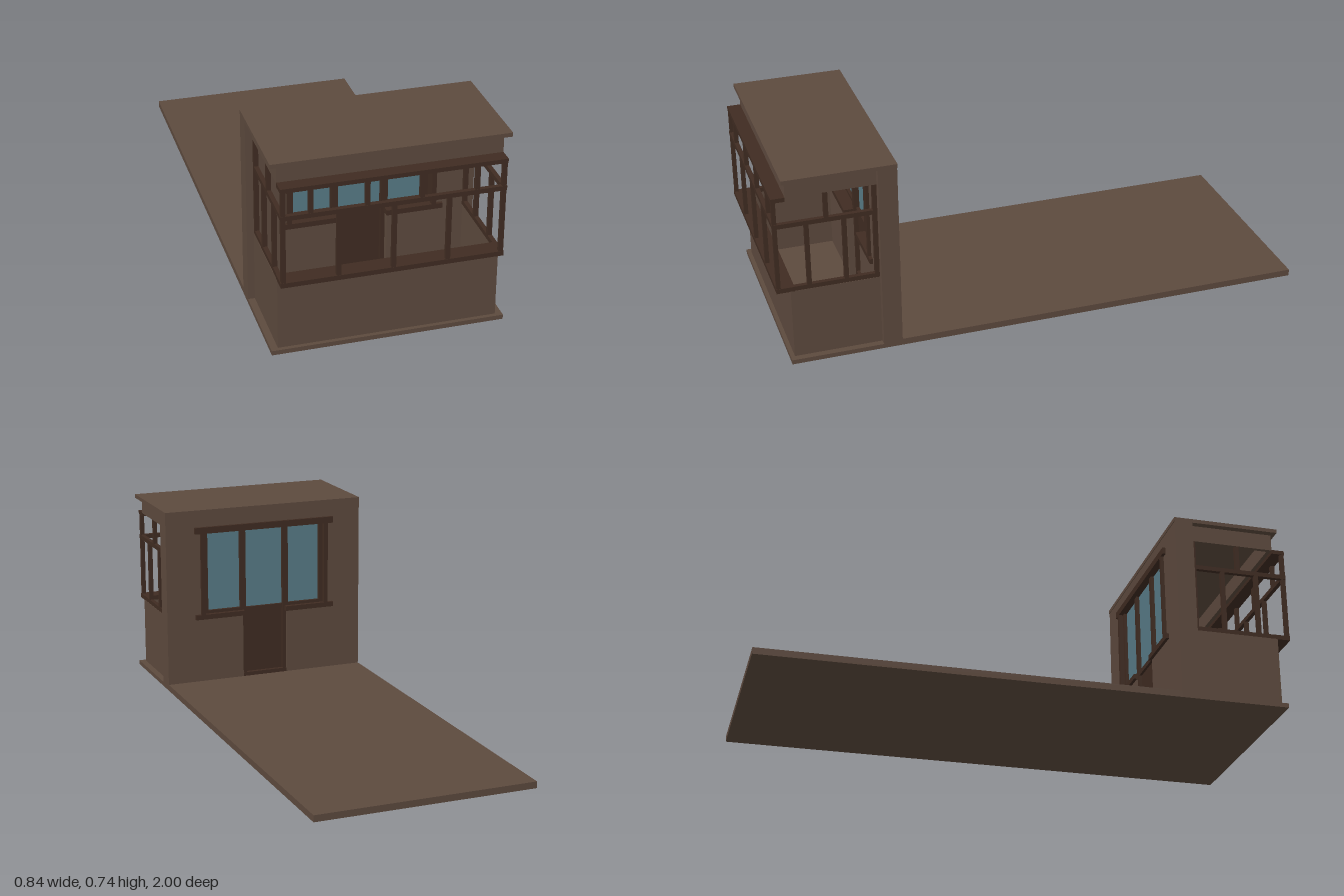
import * as THREE from 'three';

const paint = (color) => new THREE.MeshStandardMaterial({ color, flatShading: true });

export function createModel() {
  const model = new THREE.Group();
  model.name = 'glazedBalcony';
  const plaster = paint(0x5d4a3e);
  const wood = paint(0x402c22);
  const glass = paint(0x587c88);

  // Box given by its lower and upper limits on each axis
  function box(name, mat, x0, x1, y0, y1, z0, z1, parent = model) {
    const mesh = new THREE.Mesh(new THREE.BoxGeometry(x1 - x0, y1 - y0, z1 - z0), mat);
    mesh.position.set((x0 + x1) / 2, (y0 + y1) / 2, (z0 + z1) / 2);
    mesh.name = name;
    parent.add(mesh);
    return mesh;
  }
  function group(name) {
    const g = new THREE.Group();
    g.name = name;
    model.add(g);
    return g;
  }

  // Slabs
  box('roomFloor', plaster, -0.42, 0.42, 0, 0.025, -1, 0.555);
  box('balconyFloor', plaster, -0.42, 0.42, 0, 0.017, 0.555, 0.965);
  box('balconyRoof', plaster, -0.42, 0.42, 0.725, 0.74, 0.625, 0.965);

  // Dividing wall with a joined window and door opening
  const wallShape = new THREE.Shape([
    [-0.42, 0.01], [-0.095, 0.01], [-0.095, 0.295], [-0.275, 0.295], [-0.275, 0.655],
    [0.275, 0.655], [0.275, 0.295], [0.095, 0.295], [0.095, 0.01], [0.42, 0.01],
    [0.42, 0.74], [-0.42, 0.74],
  ].map(([x, y]) => new THREE.Vector2(x, y)));
  const wall = new THREE.Mesh(
    new THREE.ExtrudeGeometry(wallShape, { depth: 0.07, bevelEnabled: false }), plaster);
  wall.position.z = 0.555;
  wall.name = 'dividingWall';
  model.add(wall);

  // Parapet and the fascia under the roof
  for (const [name, y0, y1] of [['parapet', 0.017, 0.287], ['fascia', 0.66, 0.725]]) {
    const g = group(name);
    box(name + 'Front', plaster, -0.395, 0.395, y0, y1, 0.935, 0.95, g);
    for (const s of [-1, 1]) {
      const x = s * 0.3875;
      box(name + 'Side', plaster, x - 0.0075, x + 0.0075, y0, y1, 0.625, 0.935, g);
    }
  }

  // Window frame, sills and glass in the dividing wall
  const win = group('innerWindow');
  box('windowHead', wood, -0.3, 0.3, 0.644, 0.67, 0.543, 0.637, win);
  for (const s of [-1, 1]) {
    const span = (name, mat, a, b, ...rest) =>
      box(name, mat, Math.min(s * a, s * b), Math.max(s * a, s * b), ...rest, win);
    span('windowSill', wood, 0.09, 0.3, 0.288, 0.308, 0.543, 0.637);
    span('windowJamb', wood, 0.259, 0.276, 0.308, 0.644, 0.543, 0.637);
    span('sashStile', wood, 0.243, 0.259, 0.308, 0.644, 0.56, 0.59);
    span('mullion', wood, 0.08, 0.105, 0.308, 0.644, 0.56, 0.6);
    span('sashRail', wood, 0.105, 0.243, 0.308, 0.32, 0.56, 0.59);
    span('windowGlass', glass, 0.105, 0.243, 0.32, 0.644, 0.572, 0.578);
    span('doorStile', wood, 0.08, 0.095, 0.017, 0.308, 0.56, 0.6);
  }
  box('doorGlass', glass, -0.08, 0.08, 0.318, 0.644, 0.572, 0.578, win);
  box('doorPanel', wood, -0.08, 0.08, 0.04, 0.3, 0.572, 0.584, win);
  box('doorLockRail', wood, -0.08, 0.08, 0.3, 0.318, 0.562, 0.592, win);
  box('doorThreshold', wood, -0.095, 0.095, 0.015, 0.04, 0.557, 0.6, win);

  // Timber glazing frame around the balcony
  const frame = group('balconyFrame');
  box('frontBottomRail', wood, -0.395, 0.395, 0.286, 0.304, 0.935, 1, frame);
  box('frontMiddleRail', wood, -0.395, 0.395, 0.543, 0.56, 0.984, 1, frame);
  box('frontTopRail', wood, -0.395, 0.395, 0.647, 0.663, 0.95, 1, frame);
  const frontPost = (x, y0, y1) =>
    box('frontPost', wood, x - 0.008, x + 0.008, y0, y1, 0.984, 0.999, frame);
  for (const x of [-0.193, 0, 0.193]) frontPost(x, 0.304, 0.543);
  for (const x of [-0.29, -0.095, 0.095, 0.29]) frontPost(x, 0.56, 0.647);
  for (const s of [-1, 1]) {
    frontPost(s * 0.385, 0.304, 0.647);
    const x0 = s * 0.386 - 0.008, x1 = s * 0.386 + 0.008;
    box('sideBottomRail', wood, x0, x1, 0.286, 0.304, 0.625, 0.935, frame);
    box('sideMiddleRail', wood, x0, x1, 0.543, 0.56, 0.625, 0.984, frame);
    for (const [z, y0, y1] of [[0.633, 0.304, 0.66], [0.745, 0.304, 0.543],
      [0.88, 0.304, 0.543], [0.808, 0.56, 0.66]]) {
      box('sidePost', wood, x0, x1, y0, y1, z - 0.008, z + 0.008, frame);
    }
  }

  // Wall top strip flush with the roof
  box('wallCap', plaster, -0.42, 0.42, 0.725, 0.74, 0.553, 0.625);
  return model;
}
